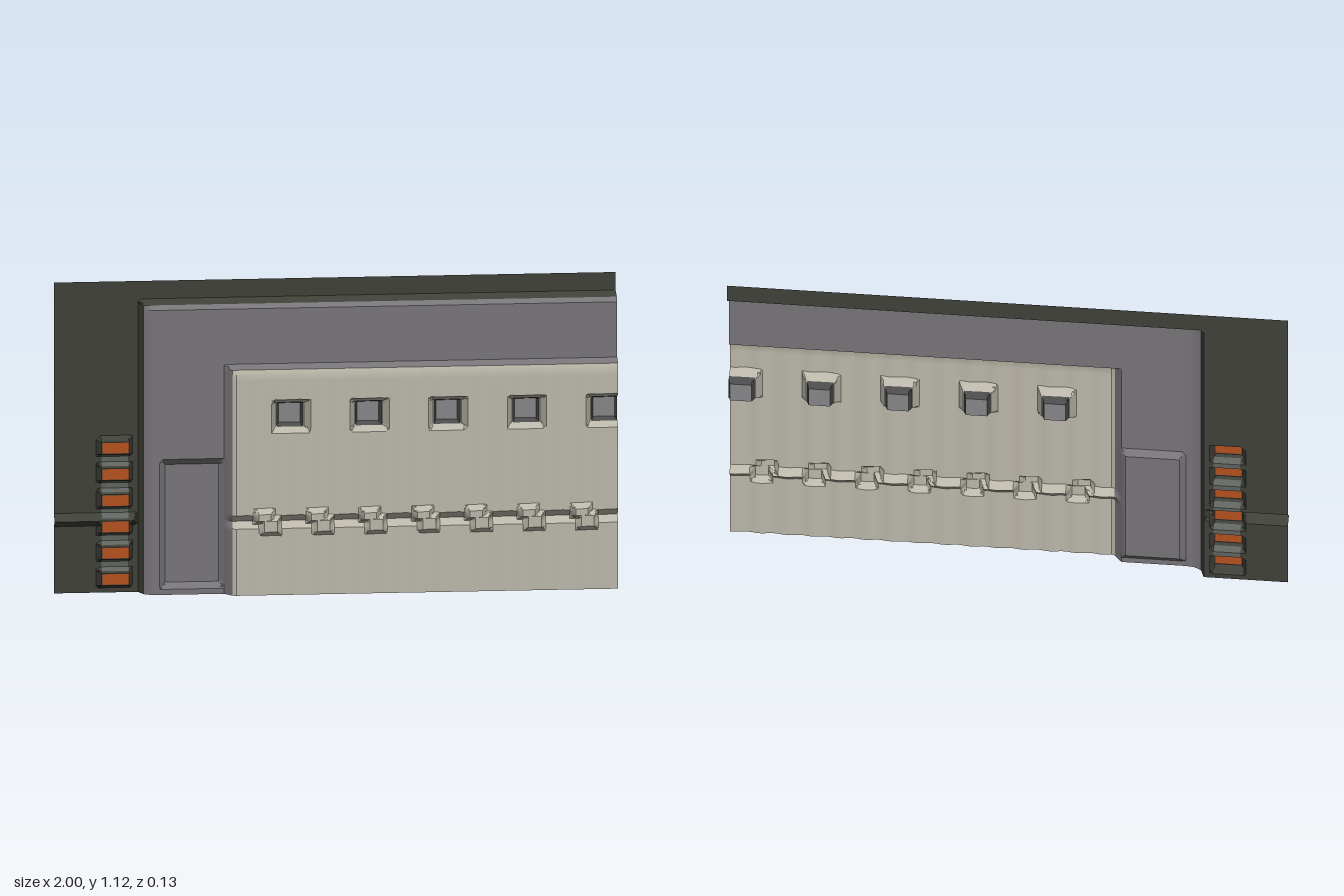
import * as THREE from 'three';
import { toCreasedNormals } from 'three/addons/utils/BufferGeometryUtils.js';

const clamp01 = (t) => Math.min(1, Math.max(0, t));
const series = (start, step, n) => Array.from({ length: n }, (_, i) => start + step * i);

// Raised strip from a to b with sloping edges, 0..1
const strip = (v, a, b, ramp) => clamp01(Math.min(v - a, b - v) / ramp);
// Raised rectangle with sloping edges, 0..1; r = [x0, x1, y0, y1, ramp]
const pad = (x, y, r) => Math.min(strip(x, r[0], r[1], r[4]), strip(y, r[2], r[3], r[4]));
const inside = (x, y, r) => x > r[0] && x < r[1] && y > r[2] && y < r[3];
// Piecewise linear profile through [position, depth] points
function profile(v, pts) {
  if (v <= pts[0][0]) return pts[0][1];
  for (let i = 1; i < pts.length; i++) {
    const [a, za] = pts[i - 1], [b, zb] = pts[i];
    if (v <= b) return za + (zb - za) * (v - a) / (b - a);
  }
  return pts[pts.length - 1][1];
}

const WIDTH = 2, HEIGHT = 1.125, BACK = -0.062;
const FRAME_SIDE = [[-0.7, BACK], [-0.685, -0.02], [-0.66, -0.004], [-0.63, 0]];
const FRAME_TOP = [[1.03, 0], [1.045, -0.018], [1.06, BACK]];
const PANEL_SIDE = [[-0.4, 0], [-0.372, 0.034], [-0.36, 0.041]];
const PANEL_TOP = [[0.8, 0.041], [0.815, 0.034], [0.83, 0]];
const DOOR = [-0.63, -0.395, 0.02, 0.49, 0.022];

// Repeated features
const windowsOuter = series(-0.165, 0.28, 5).map((c) => [c - 0.07, c + 0.07, 0.585, 0.707, 0.02]);
const windowsInner = series(-0.165, 0.28, 5).map((c) => [c - 0.047, c + 0.047, 0.602, 0.69, 0.009]);
const tabs = series(-0.25, 0.188, 7).flatMap((c) => [
  [c - 0.05, c + 0.03, 0.255, 0.315, 0.018],
  [c - 0.03, c + 0.052, 0.215, 0.29, 0.018],
]);
const lampBlocks = series(0.055, 0.095, 6).map((c) => [-0.85, -0.72, c - 0.038, c + 0.038, 0.016]);
const lamps = series(0.055, 0.095, 6).map((c) => [-0.83, -0.735, c - 0.019, c + 0.019, 0]);
const spacers = series(0.1025, 0.095, 5).map((c) => [-0.83, -0.735, c - 0.02, c + 0.02, 0]);

const strongest = (x, y, list) => list.reduce((m, r) => Math.max(m, pad(x, y, r)), 0);

// Depth of the pressed wall at any point
function depth(x, y) {
  let z = Math.min(profile(x, FRAME_SIDE), profile(y, FRAME_TOP));
  const ridge = clamp01(1 - Math.abs(y - 0.265) / 0.024);
  if (x < -0.7) {
    return z + Math.max(0.035 * ridge, 0.04 * strongest(x, y, lampBlocks));
  }
  z -= 0.02 * pad(x, y, DOOR);
  const lift = Math.min(profile(x, PANEL_SIDE), profile(y, PANEL_TOP));
  if (lift > 0) {
    const on = lift / 0.041;
    const tab = strongest(x, y, tabs);
    const opening = strongest(x, y, windowsOuter);
    z += lift + on * 0.003 * Math.cos(x * Math.PI * 2 / 0.094) * (1 - opening);
    z += on * (0.025 * tab - 0.025 * ridge * (1 - tab));
    z -= 0.041 * opening + 0.03 * strongest(x, y, windowsInner);
  }
  return z;
}

// Which part a point of the wall belongs to
function partAt(x, y) {
  if (x < -0.685 || y > 1.045) {
    if (lamps.some((r) => inside(x, y, r))) return 'lamps';
    if (spacers.some((r) => inside(x, y, r))) return 'lampSpacers';
    return 'backWall';
  }
  if (x < -0.372 || y > 0.815) return 'frame';
  const w = windowsInner.find((r) => inside(x, y, r));
  if (!w) return 'ribbedPanel';
  return pad(x, y, w) > 0.99 ? 'windowPanes' : 'windowRims';
}

// Grid lines: an even spacing plus a line at every edge of a feature
function gridLines(from, to, count, extra) {
  const all = [...series(from, (to - from) / count, count + 1), ...extra]
    .filter((v) => v >= from - 1e-6 && v <= to + 1e-6).sort((a, b) => a - b);
  return all.filter((v, i) => i === 0 || v - all[i - 1] > 1e-4);
}

function buildPart(part, xs, ys) {
  const positions = [];
  const corner = (x, y) => positions.push(x, y, depth(x, y));
  for (let i = 0; i < xs.length - 1; i++) {
    for (let j = 0; j < ys.length - 1; j++) {
      const a = xs[i], b = xs[i + 1], c = ys[j], d = ys[j + 1];
      if (partAt((a + b) / 2, (c + d) / 2) !== part) continue;
      corner(a, c); corner(b, c); corner(b, d);
      corner(a, c); corner(b, d); corner(a, d);
    }
  }
  const geometry = new THREE.BufferGeometry();
  geometry.setAttribute('position', new THREE.Float32BufferAttribute(positions, 3));
  return toCreasedNormals(geometry, 0.6);
}

export function createModel() {
  const group = new THREE.Group();
  group.name = 'wallSection';

  const rects = [DOOR, ...windowsOuter, ...windowsInner, ...tabs, ...lampBlocks, ...lamps, ...spacers];
  const edges = (k) => rects.flatMap((r) => [r[k], r[k] + r[4], r[k + 1] - r[4], r[k + 1]]);
  const at = (pts) => pts.map((p) => p[0]);
  const xs = gridLines(-WIDTH / 2, WIDTH / 2, 120, [...edges(0), ...at(FRAME_SIDE), ...at(PANEL_SIDE)]);
  const ys = gridLines(0, HEIGHT, 45,
    [...edges(2), ...at(FRAME_TOP), ...at(PANEL_TOP), 0.241, 0.265, 0.289]);

  const colours = {
    backWall: ['darkOlive', 0x3f4038],
    frame: ['midGrey', 0x777478],
    ribbedPanel: ['paleStone', 0xbab6a9],
    windowRims: ['charcoal', 0x4c4c4d],
    windowPanes: ['glassGrey', 0x858588],
    lamps: ['burntOrange', 0xb4501f],
    lampSpacers: ['steelGrey', 0x5f6460],
  };
  for (const [part, [name, color]] of Object.entries(colours)) {
    const material = new THREE.MeshStandardMaterial({ color, side: THREE.DoubleSide });
    material.name = name;
    const mesh = new THREE.Mesh(buildPart(part, xs, ys), material);
    mesh.name = part;
    group.add(mesh);
  }
  return group;
}
